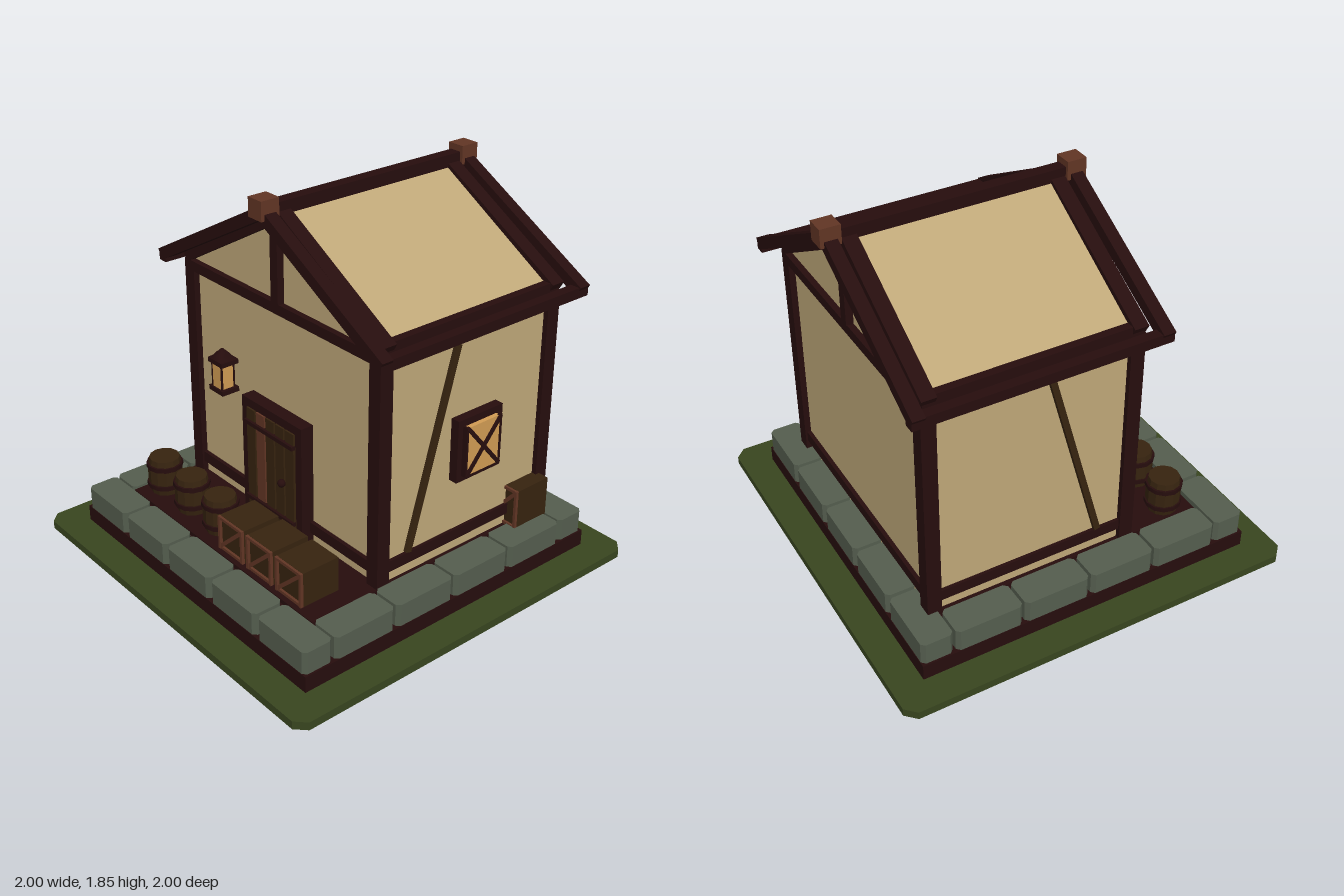
import * as THREE from 'three';

const mat = (name, color) => {
  const m = new THREE.MeshStandardMaterial({ color });
  m.name = name;
  return m;
};

export function createModel() {
  const root = new THREE.Group();
  root.name = 'cottage';
  const grass = mat('grass', 0x38451f), timber = mat('dark timber', 0x260d0d);
  const stone = mat('stone', 0x545d4e), plaster = mat('plaster', 0xbea778);
  const wood = mat('wood', 0x36230f), redWood = mat('red wood', 0x613524);
  const glow = mat('lamp glass', 0xd09b53);
  const ZC = -0.21; // centre of the house in z

  function add(name, geo, material, x = 0, y = 0, z = 0, parent = root) {
    const m = new THREE.Mesh(geo, material);
    m.name = name;
    m.position.set(x, y, z);
    parent.add(m);
    return m;
  }
  // box given by its limits on each axis
  function box(name, material, x0, x1, y0, y1, z0, z1, parent = root) {
    return add(name, new THREE.BoxGeometry(x1 - x0, y1 - y0, z1 - z0), material,
      (x0 + x1) / 2, (y0 + y1) / 2, (z0 + z1) / 2, parent);
  }
  // slab with chamfered vertical corners, standing on its origin
  function slab(w, d, h, c) {
    const a = w / 2, b = d / 2;
    const s = new THREE.Shape([[a - c, -b], [a, c - b], [a, b - c], [a - c, b],
      [c - a, b], [-a, b - c], [-a, c - b], [c - a, -b]].map(p => new THREE.Vector2(...p)));
    return new THREE.ExtrudeGeometry(s, { depth: h, bevelEnabled: false }).rotateX(-Math.PI / 2);
  }
  // straight bar in a plane of constant z
  function bar(name, material, x0, y0, x1, y1, thick, z, depth, parent = root) {
    const m = add(name, new THREE.BoxGeometry(Math.hypot(x1 - x0, y1 - y0), thick, depth),
      material, (x0 + x1) / 2, (y0 + y1) / 2, z, parent);
    m.rotation.z = Math.atan2(y1 - y0, x1 - x0);
    return m;
  }

  // Ground and foundation
  add('ground', slab(2, 2, 0.04, 0.05), grass);
  box('foundation', timber, -0.85, 0.85, 0.04, 0.12, -0.85, 0.85);
  box('floor', timber, -0.69, 0.69, 0.2, 0.22, -0.68, 0.68);
  for (const s of [-1, 1]) {
    for (let i = -2; i <= 2; i++)
      add('edgeStone', slab(0.322, 0.155, 0.11, 0.018), stone, i * 0.34, 0.12, s * 0.77);
    for (let i = 0; i < 4; i++)
      add('sideStone', slab(0.155, 0.33, 0.11, 0.018), stone, s * 0.77, 0.12, -0.516 + i * 0.344);
  }

  // Plaster walls with gables and roof panels
  const outline = new THREE.Shape([[-0.665, 0.2], [0.665, 0.2], [0.665, 1.39], [0, 1.775], [-0.665, 1.39]]
    .map(p => new THREE.Vector2(...p)));
  add('plasterBody', new THREE.ExtrudeGeometry(outline, { depth: 1.0, bevelEnabled: false }),
    plaster, 0, 0, ZC - 0.5);

  // Timber frame, mirrored left/right and front/back
  for (const sz of [-1, 1]) {
    const z = ZC + sz * 0.495;
    for (const sx of [-1, 1]) {
      add('cornerPost', new THREE.BoxGeometry(0.07, 1.15, 0.07), timber, sx * 0.655, 0.775, z);
      bar('rafter', timber, 0, 1.755, sx * 0.69, 1.365, 0.07, z, 0.07);
      bar('bargeBoard', timber, 0, 1.782, sx * 0.775, 1.36, 0.055, ZC + sz * 0.58, 0.06);
    }
    add('tieBeam', new THREE.BoxGeometry(1.38, 0.05, 0.07), timber, 0, 1.325, z);
    add('sill', new THREE.BoxGeometry(1.3, 0.055, 0.05), timber, 0, 0.303, z);
    add('kingPost', new THREE.BoxGeometry(0.05, 0.36, 0.06), timber, 0, 1.53, ZC + sz * 0.505);
    add('ridgeBlock', new THREE.BoxGeometry(0.09, 0.09, 0.095), redWood, 0, 1.805, ZC + sz * 0.58);
  }
  box('ridgeBeam', timber, -0.03, 0.03, 1.76, 1.82, ZC - 0.54, ZC + 0.54);
  for (const sx of [-1, 1]) {
    add('eavesBeam', new THREE.BoxGeometry(0.05, 0.05, 1.22), timber, sx * 0.755, 1.358, ZC);
    add('wallPlate', new THREE.BoxGeometry(0.04, 0.1, 1.04), timber, sx * 0.67, 1.35, ZC);
    add('sideSill', new THREE.BoxGeometry(0.04, 0.055, 1.0), timber, sx * 0.66, 0.303, ZC);
    const brace = add('brace', new THREE.BoxGeometry(0.03, 0.97, 0.03), wood, sx * 0.67, 0.8, 0);
    brace.rotation.x = -0.272;
  }

  // Door
  const door = new THREE.Group();
  door.name = 'door';
  root.add(door);
  for (const s of [-1, 1])
    add('doorJamb', new THREE.BoxGeometry(0.042, 0.61, 0.075), timber, s * 0.196, 0.525, 0.32, door);
  box('doorLintel', timber, -0.217, 0.217, 0.785, 0.83, 0.283, 0.358, door);
  box('doorBacking', timber, -0.18, 0.18, 0.22, 0.79, 0.283, 0.335, door);
  for (let i = 0; i < 5; i++)
    add('doorPlank', new THREE.BoxGeometry(0.06, 0.565, 0.03), i === 1 ? redWood : wood,
      (i - 2) * 0.071, 0.505, 0.352, door);
  for (const y of [0.32, 0.72]) box('doorStrap', timber, -0.175, 0.175, y - 0.01, y + 0.01, 0.36, 0.38, door);
  add('doorHandle', new THREE.SphereGeometry(0.02, 8, 6), timber, 0.105, 0.515, 0.385, door);

  // Window on the +x wall
  const win = new THREE.Group();
  win.name = 'window';
  win.position.set(0.66, 0.755, -0.255);
  win.rotation.y = Math.PI / 2;
  root.add(win);
  for (const s of [-1, 1]) {
    add('windowSide', new THREE.BoxGeometry(0.036, 0.31, 0.05), timber, s * 0.117, 0, 0.025, win);
    add('windowRail', new THREE.BoxGeometry(0.27, 0.036, 0.05), timber, 0, s * 0.137, 0.025, win);
    bar('windowCross', timber, -0.1, -s * 0.12, 0.1, s * 0.12, 0.018, 0.073, 0.016, win);
    add('innerSide', new THREE.BoxGeometry(0.01, 0.25, 0.075), timber, s * 0.102, 0, 0.04, win);
  }
  box('windowPane', glow, -0.1, 0.1, -0.12, 0.12, 0, 0.072, win);

  // Lantern
  const lamp = new THREE.Group();
  lamp.name = 'lantern';
  lamp.position.set(-0.385, 0, 0.34);
  root.add(lamp);
  const square = (r0, r1, h) => new THREE.CylinderGeometry(r0, r1, h, 4).rotateY(Math.PI / 4);
  box('lampBase', timber, -0.054, 0.054, 0.78, 0.803, -0.05, 0.045, lamp);
  box('lampGlass', glow, -0.036, 0.036, 0.803, 0.925, -0.036, 0.036, lamp);
  box('lampCap', timber, -0.054, 0.054, 0.925, 0.948, -0.05, 0.045, lamp);
  add('lampRoof', square(0.025, 0.06, 0.035), timber, 0, 0.965, 0, lamp);
  add('lampTip', square(0.008, 0.025, 0.015), timber, 0, 0.988, 0, lamp);
  for (const sx of [-1, 1]) for (const sz of [-1, 1])
    add('lampRod', new THREE.BoxGeometry(0.008, 0.125, 0.008), timber, sx * 0.036, 0.864, sz * 0.034, lamp);

  // Barrels
  const profile = [[0, 0], [0.072, 0], [0.083, 0.06], [0.083, 0.13], [0.074, 0.185], [0, 0.185]]
    .map(p => new THREE.Vector2(...p));
  const staves = new THREE.LatheGeometry(profile, 12).toNonIndexed();
  staves.computeVertexNormals();
  for (const x of [-0.6, -0.37, -0.14]) {
    const barrel = new THREE.Group();
    barrel.name = 'barrel';
    barrel.position.set(x, 0.222, 0.555);
    root.add(barrel);
    add('staves', staves, wood, 0, 0, 0, barrel);
    for (const y of [0.045, 0.145])
      add('hoop', new THREE.CylinderGeometry(0.089, 0.089, 0.022, 12), timber, 0, y, 0, barrel);
  }

  // Crates with a framed, braced front
  for (const [x, z] of [[0.07, 0.552], [0.28, 0.552], [0.49, 0.552], [0.655, -0.588]]) {
    const crate = new THREE.Group();
    crate.name = 'crate';
    crate.position.set(x, 0.22, z);
    root.add(crate);
    const h = z < 0 ? 0.205 : 0.172;
    box('crateBody', wood, -0.09, 0.09, 0, h, -0.105, 0.09, crate);
    for (const s of [-1, 1]) {
      add('crateStile', new THREE.BoxGeometry(0.014, h, 0.015), redWood, s * 0.083, h / 2, 0.097, crate);
      add('crateRail', new THREE.BoxGeometry(0.17, 0.014, 0.012), redWood, 0, h / 2 + s * (h / 2 - 0.008), 0.096, crate);
    }
    bar('crateBrace', redWood, -0.08, 0.012, 0.08, h - 0.012, 0.018, 0.096, 0.012, crate);
  }
  return root;
}
